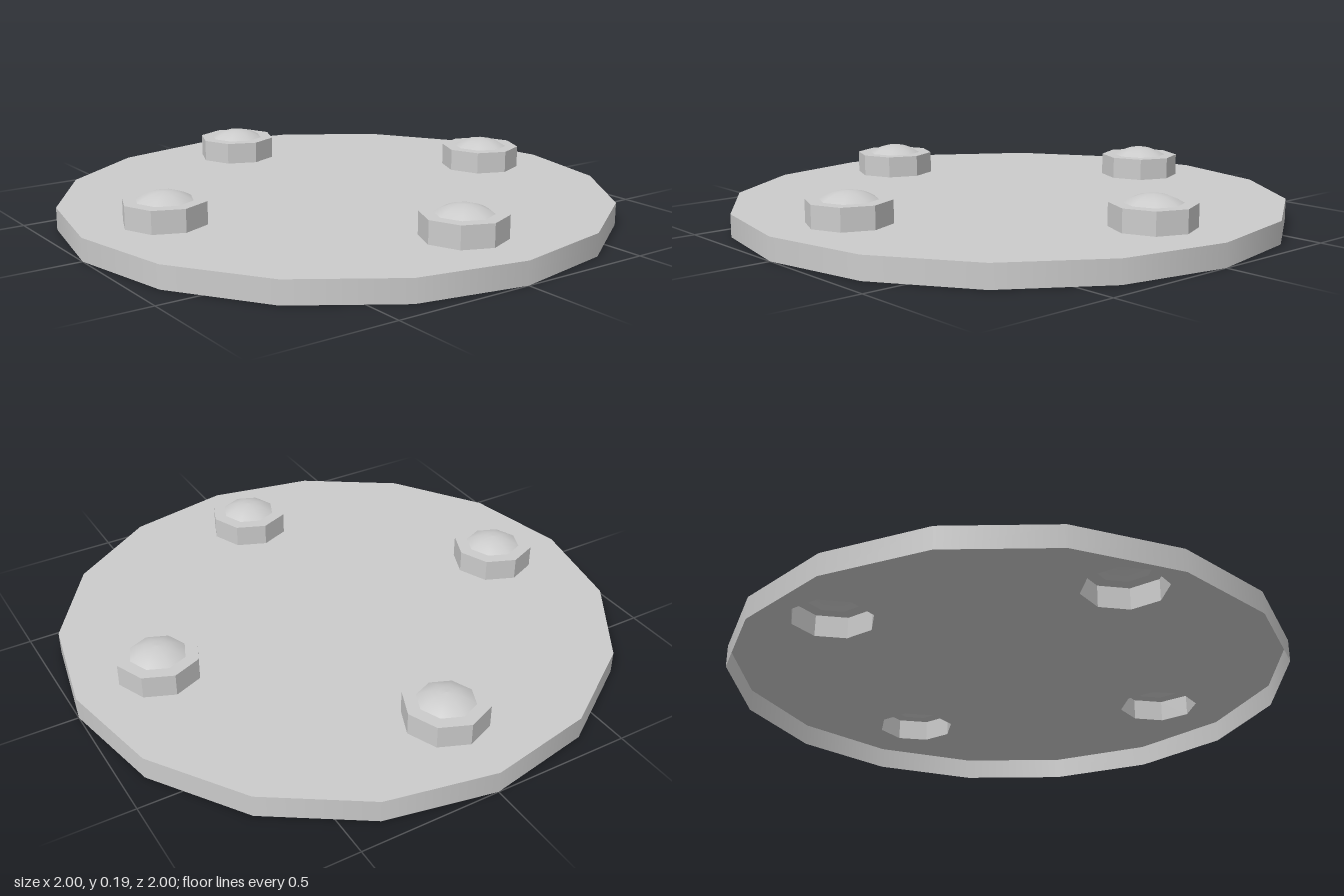
import * as THREE from 'three';

const PLATE_SIDES = 16, PLATE_R = 1, PLATE_H = 0.08;
const NUT_SIDES = 8, NUT_R = 0.147, NUT_TOP = 0.16, NUT_OFFSET = 0.7;
const DOME_R = 0.1, DOME_H = 0.03;

// Corners of a regular polygon with one corner on the +y axis
function ngon(sides, r, cx = 0, cy = 0) {
  return Array.from({ length: sides }, (_, i) => {
    const a = (i / sides) * Math.PI * 2;
    return new THREE.Vector2(cx + r * Math.sin(a), cy + r * Math.cos(a));
  });
}

// Flat upward-facing polygon with holes, at height y
function flatFace(outline, holes, y) {
  const shape = new THREE.Shape(outline);
  shape.holes = holes.map((h) => new THREE.Path(h));
  return new THREE.ShapeGeometry(shape).rotateX(-Math.PI / 2).translate(0, y, 0);
}

// Open-ended upright wall between two heights
function wall(r, sides, y0, y1) {
  return new THREE.CylinderGeometry(r, r, y1 - y0, sides, 1, true).translate(0, (y0 + y1) / 2, 0);
}

export function createModel() {
  const group = new THREE.Group();
  const smooth = new THREE.MeshStandardMaterial({ color: 0xcccccc, side: THREE.DoubleSide });
  const flat = new THREE.MeshStandardMaterial({ color: 0xcccccc, side: THREE.DoubleSide, flatShading: true });

  const add = (parent, name, geometry, material) => {
    const mesh = new THREE.Mesh(geometry, material);
    mesh.name = name;
    parent.add(mesh);
  };

  // Hollow plate, open underneath, with an opening below each nut
  const spots = [[1, 0], [0, 1], [-1, 0], [0, -1]].map(([x, z]) => [x * NUT_OFFSET, z * NUT_OFFSET]);
  const openings = spots.map(([x, z]) => ngon(NUT_SIDES, NUT_R, x, -z));
  add(group, 'plateTop', flatFace(ngon(PLATE_SIDES, PLATE_R), openings, PLATE_H), flat);
  add(group, 'plateRim', wall(PLATE_R, PLATE_SIDES, 0, PLATE_H), smooth);

  // Hollow nut pieces: octagonal wall, top ring and shallow domed cap
  const nutWall = wall(NUT_R, NUT_SIDES, PLATE_H, NUT_TOP);
  const nutTop = flatFace(ngon(NUT_SIDES, NUT_R), [ngon(NUT_SIDES, DOME_R)], NUT_TOP);
  const sphereR = (DOME_R ** 2 + DOME_H ** 2) / (2 * DOME_H);
  const arc = Math.asin(DOME_R / sphereR);
  const profile = [1, 0.75, 0.5, 0.25, 0].map((t) => new THREE.Vector2(
    sphereR * Math.sin(arc * t),
    NUT_TOP + DOME_H - sphereR * (1 - Math.cos(arc * t)),
  ));
  const dome = new THREE.LatheGeometry(profile, NUT_SIDES);

  for (const [x, z] of spots) {
    const bolt = new THREE.Group();
    bolt.name = 'bolt';
    bolt.position.set(x, 0, z);
    add(bolt, 'nutWall', nutWall, flat);
    add(bolt, 'nutTop', nutTop, flat);
    add(bolt, 'boltDome', dome, smooth);
    group.add(bolt);
  }
  return group;
}
